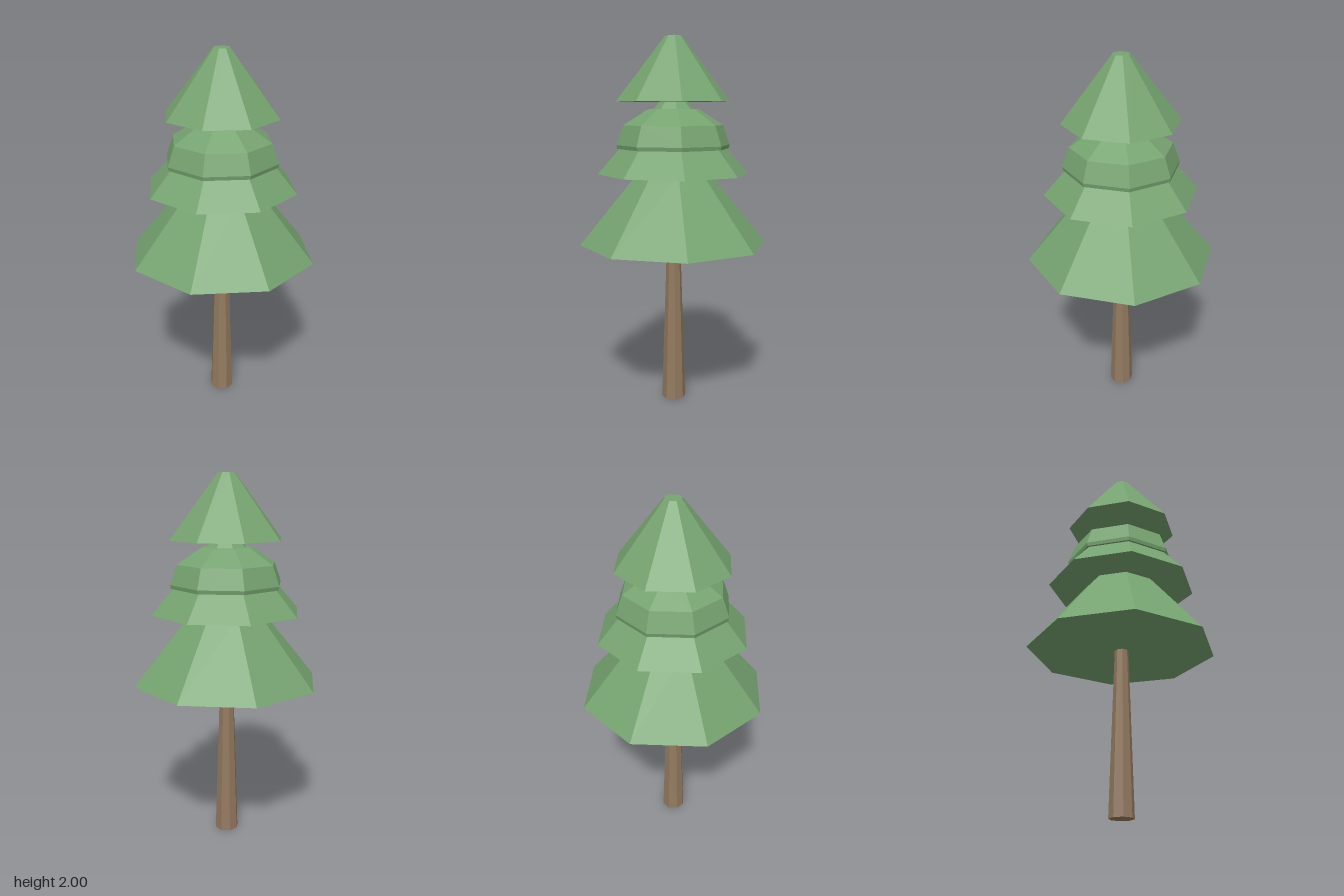
import * as THREE from 'three';

const SIDES = 8;

export function createModel() {
  const tree = new THREE.Group();
  tree.name = 'tree';
  const leaf = new THREE.MeshStandardMaterial({ color: 0x76a370, flatShading: true });
  const bark = new THREE.MeshStandardMaterial({ color: 0x937a5f, flatShading: true });

  // Capped, tapered eight-sided section standing between two heights
  const taper = (name, bottomR, topR, y0, y1, material) => {
    const mesh = new THREE.Mesh(new THREE.CylinderGeometry(topR, bottomR, y1 - y0, SIDES), material);
    mesh.name = name;
    mesh.position.y = (y0 + y1) / 2;
    tree.add(mesh);
  };

  taper('trunk', 0.066, 0.037, 0, 0.91, bark);
  taper('lowerFoliage', 0.513, 0.197, 0.89, 1.276, leaf);
  taper('middleFoliage', 0.41, 0.07, 1.275, 1.665, leaf);
  taper('topFoliage', 0.308, 0.045, 1.66, 2, leaf);

  // Rounded collar of foliage wrapped around the middle tier
  const profile = [
    [0, 1.41], [0.304, 1.41], [0.308, 1.43], [0.27, 1.535], [0.145, 1.615], [0.125, 1.621], [0, 1.621],
  ].map(([r, y]) => new THREE.Vector2(r, y));
  const collar = new THREE.Mesh(new THREE.LatheGeometry(profile, SIDES), leaf);
  collar.name = 'foliageCollar';
  tree.add(collar);

  return tree;
}
